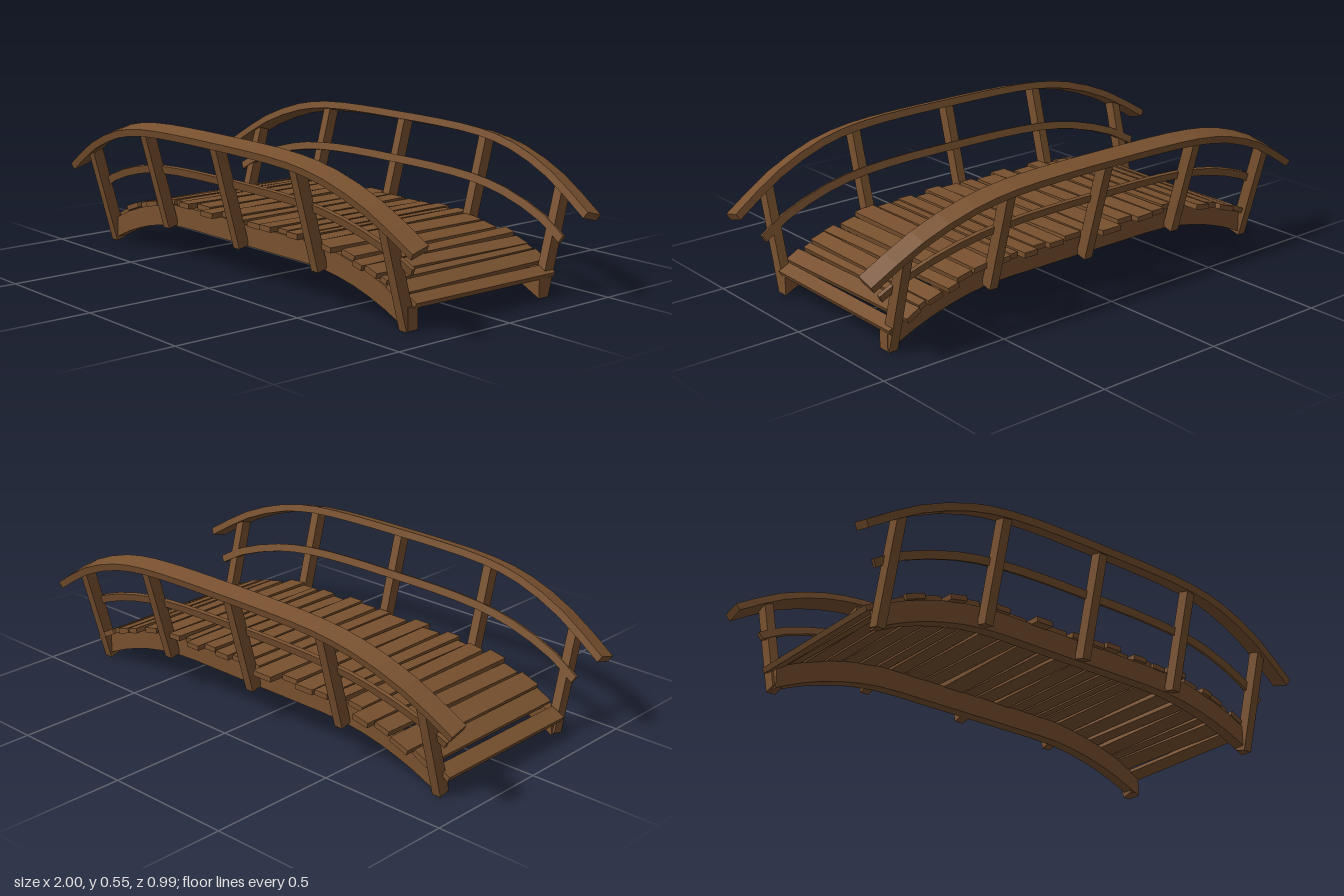
import * as THREE from 'three';

const wood = new THREE.MeshStandardMaterial({ color: 0x77502e });
wood.name = 'brown wood';

const LEAN = 0.265; // outward tilt of posts and rails, radians

// Half profile from the middle outwards -> smooth curve running along +x
function archCurve(half) {
  const pts = half.map(([x, y, z]) => new THREE.Vector3(x, y, z));
  const left = pts.slice(1).reverse().map((p) => new THREE.Vector3(-p.x, p.y, p.z));
  return new THREE.CatmullRomCurve3([...left, ...pts]);
}

// Sweep a rectangle along an arch; side = -1 mirrors it in z
function beam(half, width, height, tilt, upright, side) {
  const curve = archCurve(half);
  const n = 20;
  const across = new THREE.Vector3(0, -Math.sin(tilt), Math.cos(tilt));
  const rings = [];
  for (let i = 0; i <= n; i++) {
    const c = curve.getPoint(i / n);
    const t = curve.getTangent(i / n);
    const up = upright ? new THREE.Vector3(0, 1, 0) : across.clone().cross(t).normalize();
    const ring = [[-1, -1], [1, -1], [1, 1], [-1, 1]].map(([u, w]) => {
      const p = c.clone().addScaledVector(up, u * height / 2).addScaledVector(across, w * width / 2);
      p.z *= side;
      return p;
    });
    rings.push(side < 0 ? ring.reverse() : ring);
  }
  const pos = [];
  const quad = (a, b, c, d) => [a, b, c, a, c, d].forEach((p) => pos.push(p.x, p.y, p.z));
  for (let i = 0; i < n; i++) {
    const A = rings[i], B = rings[i + 1];
    for (let k = 0; k < 4; k++) {
      const m = (k + 1) % 4;
      quad(A[k], A[m], B[m], B[k]);
    }
  }
  const S = rings[0], E = rings[n];
  quad(S[0], S[3], S[2], S[1]);
  quad(E[0], E[1], E[2], E[3]);
  const g = new THREE.BufferGeometry();
  g.setAttribute('position', new THREE.Float32BufferAttribute(pos, 3));
  g.computeVertexNormals();
  return g;
}

// Height of an arch at a given x
function heightAt(samples, x) {
  let i = 1;
  while (i < samples.length - 1 && samples[i].x < x) i++;
  const a = samples[i - 1], b = samples[i];
  return a.y + (b.y - a.y) * (x - a.x) / (b.x - a.x);
}

const STRINGER = [[0, 0.173, 0.313], [0.22, 0.173, 0.313], [0.43, 0.17, 0.313], [0.6, 0.142, 0.313], [0.75, 0.095, 0.313], [0.865, 0.043, 0.313]];
const HANDRAIL = [[0, 0.526, 0.456], [0.22, 0.525, 0.456], [0.43, 0.516, 0.454], [0.6, 0.488, 0.447], [0.8, 0.415, 0.43], [0.992, 0.302, 0.408]];
const MIDRAIL = [[0, 0.369, 0.394], [0.22, 0.368, 0.394], [0.43, 0.358, 0.392], [0.6, 0.332, 0.386], [0.8, 0.27, 0.37], [0.905, 0.213, 0.355]];
const DECK = [[0, 0.222, 0], [0.22, 0.222, 0], [0.43, 0.219, 0], [0.6, 0.191, 0], [0.75, 0.145, 0], [0.85, 0.095, 0], [0.92, 0.06, 0]];

// Each plank: left edge, right edge, back end, front end (hundredths)
const PLANKS = [
  [-90, -84, -33, 31], [-83, -76, -36, 33], [-76, -68, -38, 34], [-67, -60.5, -37, 33], [-59.5, -52.5, -40, 36],
  [-51.5, -45, -34, 33], [-44, -39.5, -35, 32], [-38.5, -32.5, -37, 35], [-31.5, -23.5, -38, 32], [-22.5, -15.5, -36, 37],
  [-14, -5, -40, 33], [-4, 1.5, -36, 35], [3, 10.5, -36, 35], [11.5, 18, -37, 36], [19, 24.5, -36, 33],
  [25.5, 31.5, -39, 35], [32.5, 35.5, -36, 33], [36.5, 42, -38, 34], [43, 51, -36, 36], [52.5, 59, -36, 33],
  [60.5, 65, -39, 35], [66, 72, -38, 34], [72.5, 75.5, -37, 33], [76, 82, -38, 34], [82.5, 87.5, -36, 31],
];

export function createModel() {
  const bridge = new THREE.Group();
  bridge.name = 'footbridge';
  const add = (name, geometry, parent = bridge) => {
    const mesh = new THREE.Mesh(geometry, wood);
    mesh.name = name;
    parent.add(mesh);
    return mesh;
  };

  // Deck planks, uneven and slightly skewed
  const deck = new THREE.Group();
  deck.name = 'deck';
  bridge.add(deck);
  const deckSamples = archCurve(DECK).getPoints(60);
  PLANKS.forEach(([l, r, back, front], i) => {
    const x = (l + r) / 200;
    const slope = Math.atan((heightAt(deckSamples, x + 0.02) - heightAt(deckSamples, x - 0.02)) / 0.04);
    const plank = add('plank', new THREE.BoxGeometry((r - l) / 100, 0.02, (front - back) / 100), deck);
    plank.position.set(x, heightAt(deckSamples, x), (back + front) / 200);
    plank.rotation.set(0.008 * Math.sin(i * 2.3), 0.012 * Math.sin(i * 1.7), slope);
  });

  // Both sides: stringer, posts and rails
  const railSamples = archCurve(HANDRAIL).getPoints(60);
  for (const side of [1, -1]) {
    const group = new THREE.Group();
    group.name = side > 0 ? 'frontSide' : 'backSide';
    bridge.add(group);
    add('stringer', beam(STRINGER, 0.045, 0.08, 0, true, side), group);
    add('handrail', beam(HANDRAIL, 0.072, 0.028, LEAN, false, side), group);
    add('middleRail', beam(MIDRAIL, 0.014, 0.03, LEAN, false, side), group);

    for (const x of [-0.855, -0.44, 0, 0.44, 0.845]) {
      const bottom = Math.abs(x) > 0.6 ? 0.006 : 0.132;
      const top = heightAt(railSamples, x) - 0.01;
      const y = (bottom + top) / 2;
      const post = add('post', new THREE.BoxGeometry(0.036, (top - bottom) / Math.cos(LEAN), 0.045), group);
      post.position.set(x, y, side * (0.353 + Math.tan(LEAN) * (y - 0.135)));
      post.rotation.x = side * LEAN;
    }
  }
  return bridge;
}
